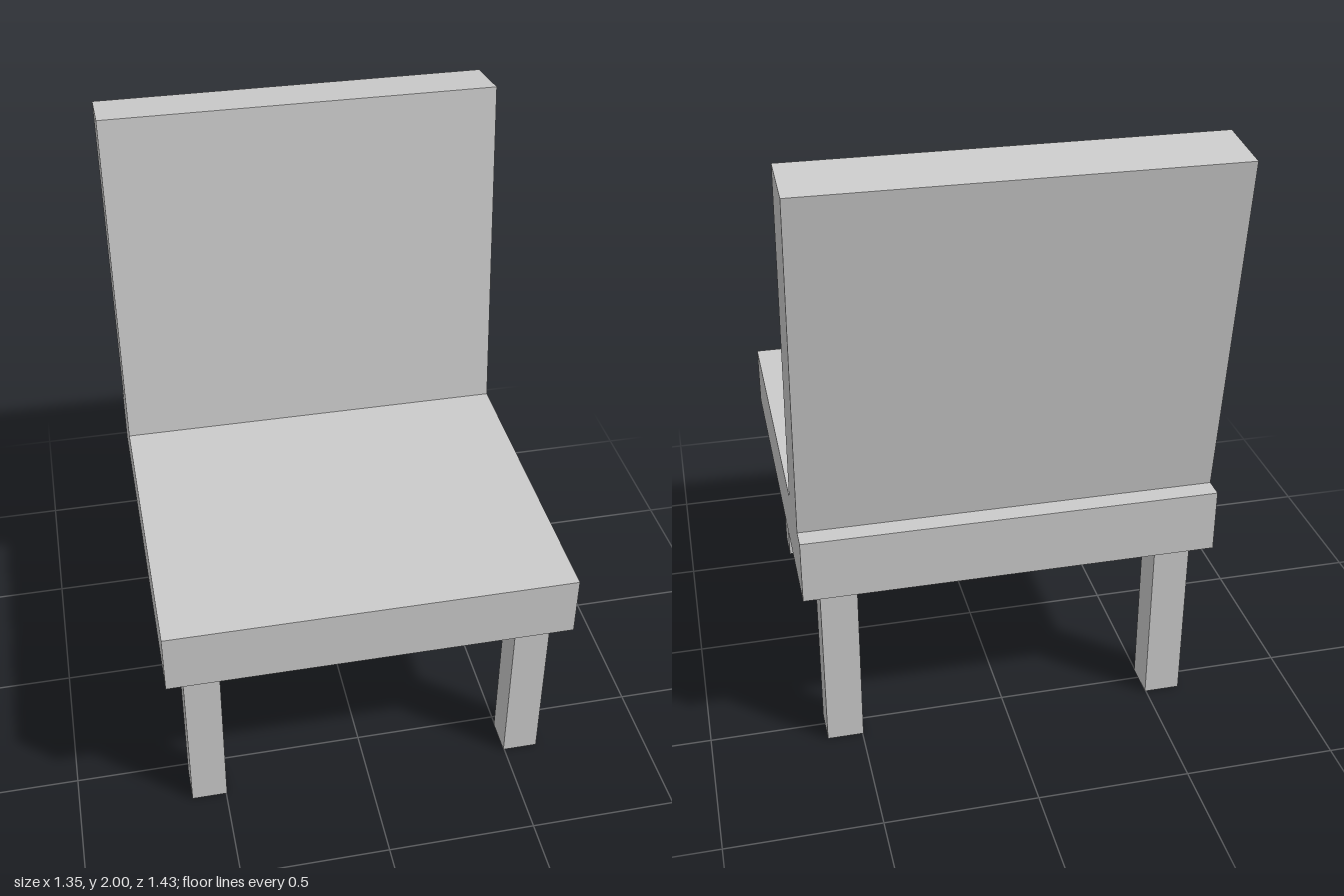
import * as THREE from 'three';

export function createModel() {
  const group = new THREE.Group();
  const material = new THREE.MeshStandardMaterial({ color: 0xcccccc, flatShading: true });
  const seatZ = 0.04;

  const addBox = (name, size, position) => {
    const mesh = new THREE.Mesh(new THREE.BoxGeometry(...size), material);
    mesh.name = name;
    mesh.position.set(...position);
    group.add(mesh);
    return mesh;
  };

  // Square seat slab
  addBox('seat', [1.352, 0.212, 1.352], [0, 0.72, seatZ]);

  // Backrest, leaning backwards with its foot sunk into the seat
  const backrest = addBox('backrest', [1.352, 1.27, 0.212], [0, 1.357, -0.528]);
  backrest.rotation.x = -0.122;

  // Four square legs inset from the seat corners
  for (const [side, sx] of [['Left', 1], ['Right', -1]]) {
    for (const [end, sz] of [['front', 1], ['back', -1]]) {
      addBox(`${end}${side}Leg`, [0.12, 0.614, 0.12], [sx * 0.557, 0.307, seatZ + sz * 0.557]);
    }
  }

  return group;
}
